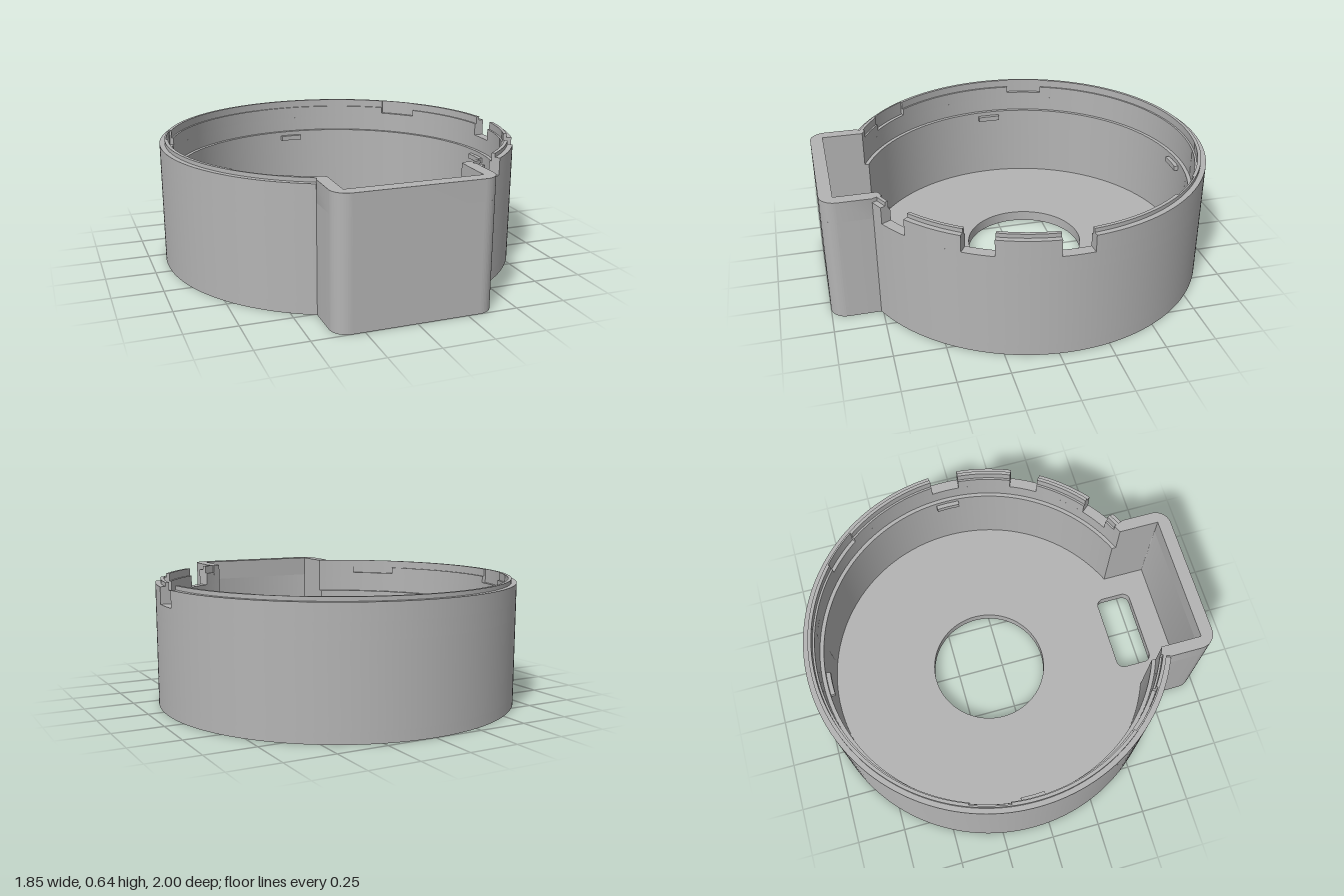
import * as THREE from 'three';
import { mergeGeometries, toCreasedNormals } from 'three/addons/utils/BufferGeometryUtils.js';

const CZ = -0.077;            // centre of the round part
const R = 0.923;              // outer radius
const rad = THREE.MathUtils.degToRad;

// Plan shapes are drawn in (x, z) and raised from y0 to y1.
function slab(shape, y0, y1, curveSegments) {
  const g = new THREE.ExtrudeGeometry(shape, { depth: y1 - y0, bevelEnabled: false, curveSegments });
  g.rotateX(Math.PI / 2);
  g.translate(0, y1, 0);
  return g;
}

// Circle joined to a box at the front, with rounded box corners.
function keyhole(path, r, halfWidth, front, corner) {
  const a = Math.acos(halfWidth / r);
  path.absarc(0, CZ, r, Math.PI - a, Math.PI * 2 + a, false);
  path.lineTo(halfWidth, front - corner);
  path.absarc(halfWidth - corner, front - corner, corner, 0, Math.PI / 2, false);
  path.absarc(-halfWidth + corner, front - corner, corner, Math.PI / 2, Math.PI, false);
  path.closePath();
  return path;
}

function roundedRect(x0, z0, x1, z1, r) {
  const p = new THREE.Path();
  p.absarc(x1 - r, z1 - r, r, 0, Math.PI / 2, false);
  p.absarc(x0 + r, z1 - r, r, Math.PI / 2, Math.PI, false);
  p.absarc(x0 + r, z0 + r, r, Math.PI, Math.PI * 1.5, false);
  p.absarc(x1 - r, z0 + r, r, Math.PI * 1.5, Math.PI * 2, false);
  p.closePath();
  return p;
}

// Piece of a ring between two angles in degrees.
function arcSlab(r0, r1, y0, y1, from, to) {
  const s = new THREE.Shape();
  s.absarc(0, CZ, r1, rad(from), rad(to), false);
  s.absarc(0, CZ, r0, rad(to), rad(from), true);
  s.closePath();
  return slab(s, y0, y1, Math.max(3, Math.ceil((to - from) / 2.5)));
}

export function createModel() {
  const group = new THREE.Group();
  const grey = new THREE.MeshStandardMaterial({ color: 0xb4b4b4 });
  grey.name = 'grey plastic';

  function add(name, geometry) {
    const mesh = new THREE.Mesh(toCreasedNormals(geometry, 0.5), grey);
    mesh.name = name;
    group.add(mesh);
  }

  const outline = () => keyhole(new THREE.Shape(), R, 0.39, 1, 0.08);

  // Floor with the round opening and the cable slot
  const floor = outline();
  floor.holes.push(new THREE.Path().absarc(0, CZ, 0.305, 0, Math.PI * 2, false));
  floor.holes.push(roundedRect(-0.212, 0.62, 0.212, 0.81, 0.04));
  add('floor', slab(floor, 0, 0.055, 96));

  // Continuous walls, with a small inner step
  for (const [name, r, y0, y1] of [['lowerWall', 0.85, 0.055, 0.455], ['upperWall', 0.87, 0.455, 0.535]]) {
    const wall = outline();
    wall.holes.push(keyhole(new THREE.Path(), r, 0.33, 0.935, 0.004));
    add(name, slab(wall, y0, y1, 96));
  }

  // Notched rim: solid spans between the three notches, thinner at the locking recesses
  const normal = [[115, 126], [142, 188], [201, 308.5], [322, 355.2], [364.8, 383.2], [392.8, 411.2], [420.8, 425]];
  const recessed = [[126, 142], [188, 201], [308.5, 322]];
  const rim = [], lip = [];
  for (const [a, b] of normal) {
    rim.push(arcSlab(0.87, R, 0.535, 0.6, a, b), arcSlab(0.88, R, 0.6, 0.62, a, b));
    lip.push(arcSlab(0.88, 0.897, 0.62, 0.64, a, b));
  }
  for (const [a, b] of recessed) {
    rim.push(arcSlab(0.87, R, 0.535, 0.565, a, b), arcSlab(0.889, R, 0.565, 0.62, a, b));
    lip.push(arcSlab(0.889, 0.897, 0.62, 0.64, a, b));
  }
  add('notchedRim', mergeGeometries(rim));
  add('rimLip', mergeGeometries(lip));

  // Top of the front box wall
  const u = new THREE.Shape();
  u.moveTo(0.368, 0.711);
  u.lineTo(0.39, 0.76);
  u.absarc(0.31, 0.92, 0.08, 0, Math.PI / 2, false);
  u.absarc(-0.31, 0.92, 0.08, Math.PI / 2, Math.PI, false);
  for (const [x, z] of [[-0.39, 0.76], [-0.368, 0.711], [-0.33, 0.728], [-0.33, 0.935], [0.33, 0.935], [0.33, 0.728]]) u.lineTo(x, z);
  u.closePath();
  add('boxRim', slab(u, 0.535, 0.64, 12));

  // Retaining clips on the inner wall
  for (const angle of [180, 270, 360]) {
    add('retainingClip', arcSlab(0.828, 0.856, 0.405, 0.432, angle - 4.2, angle + 4.2));
  }
  return group;
}
